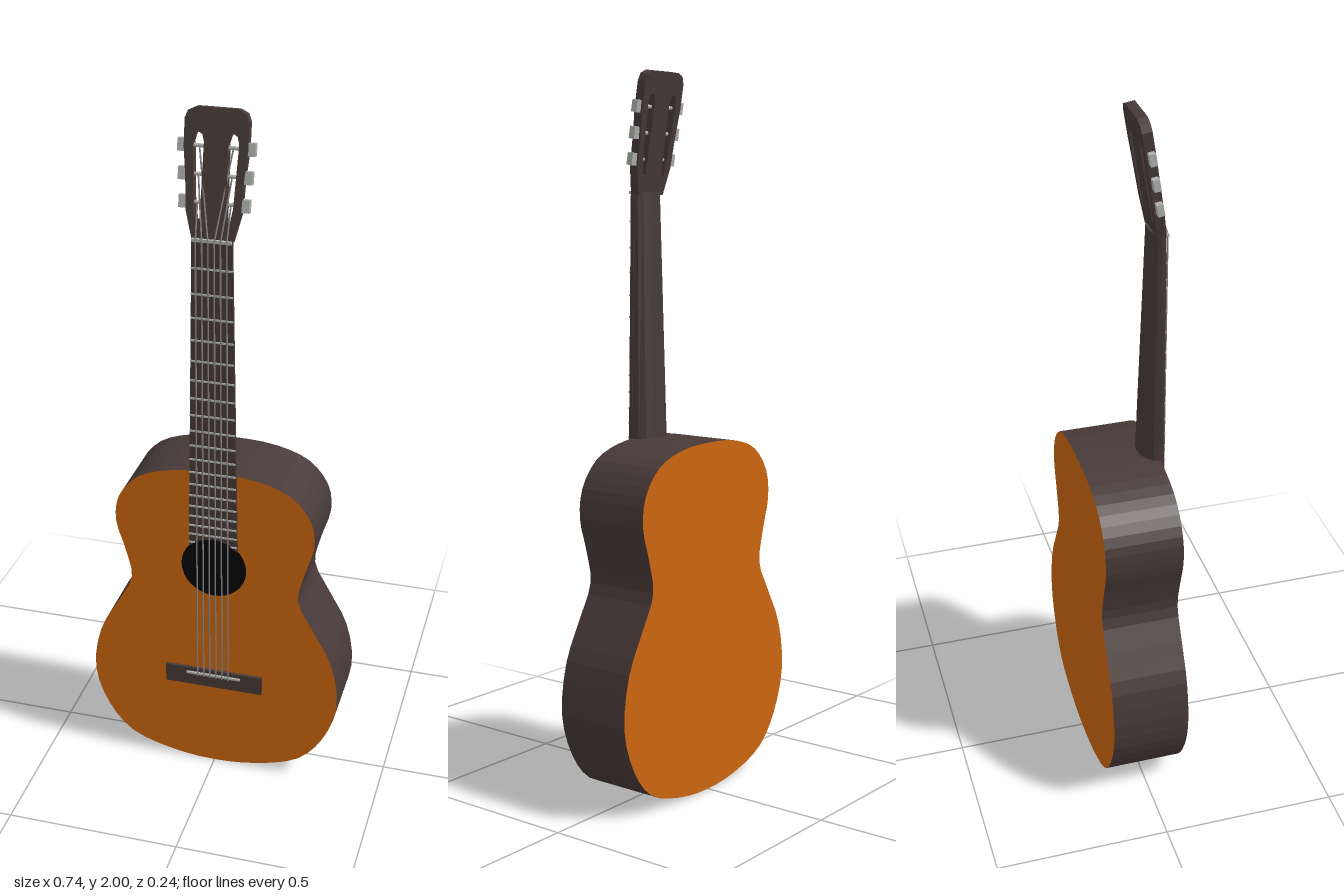
import * as THREE from 'three';

const material = (color, flatShading = false) => new THREE.MeshStandardMaterial({ color, flatShading });
const V = (x, y, z) => new THREE.Vector3(x, y, z);
const lerp = THREE.MathUtils.lerp;

const spruce = material(0xcc6610);
const darkWood = material(0x483a38);
const facetedWood = material(0x483a38, true);
const black = material(0x050505);
const metal = material(0xb0b4b0);
const stringMetal = material(0x85858a);

const NUT_Y = 1.67, SADDLE_Y = 0.32, HOLE_Y = 0.69, HOLE_R = 0.095;
const BOARD_END = 0.754, BOARD_TOP_W = 0.054, BOARD_END_W = 0.07;
const boardHalfWidth = (y) => lerp(BOARD_END_W, BOARD_TOP_W, (y - BOARD_END) / (NUT_Y - BOARD_END));

function add(parent, name, geometry, mat, x = 0, y = 0, z = 0) {
  const mesh = new THREE.Mesh(geometry, mat);
  mesh.name = name;
  mesh.position.set(x, y, z);
  parent.add(mesh);
  return mesh;
}

function box(parent, name, mat, w, h, d, x, y, z) {
  return add(parent, name, new THREE.BoxGeometry(w, h, d), mat, x, y, z);
}

// Thin cylinder between two points
function rod(parent, name, mat, a, b, r, sides = 6) {
  const dir = b.clone().sub(a);
  const mesh = add(parent, name, new THREE.CylinderGeometry(r, r, dir.length(), sides), mat);
  mesh.position.copy(a).add(b).multiplyScalar(0.5);
  mesh.quaternion.setFromUnitVectors(V(0, 1, 0), dir.normalize());
  return mesh;
}

function extrude(shape, depth) {
  return new THREE.ExtrudeGeometry(shape, { depth, bevelEnabled: false, curveSegments: 12 });
}

// Waisted outline, right half mirrored to the left
function bodyShape() {
  const half = [[0.13, 0.015], [0.257, 0.06], [0.328, 0.145], [0.368, 0.27], [0.347, 0.415], [0.29, 0.525],
    [0.246, 0.615], [0.262, 0.706], [0.288, 0.80], [0.277, 0.88], [0.22, 0.95], [0.125, 0.985]];
  const outline = [[0, 0.002], ...half, [0, 0.994], ...half.slice().reverse().map(([x, y]) => [-x, y])];
  const curve = new THREE.CatmullRomCurve3(outline.map(([x, y]) => V(x, y, 0)), true, 'centripetal');
  return new THREE.Shape(curve.getPoints(78).slice(0, -1).map((p) => new THREE.Vector2(p.x, p.y)));
}

// Half-round neck, flat at the front, tapering towards the nut
function neckGeometry() {
  const bottom = 0.96, top = 1.675;
  const geometry = new THREE.CylinderGeometry(1, 1, 1, 16);
  const p = geometry.attributes.position;
  for (let i = 0; i < p.count; i++) {
    const t = p.getY(i) + 0.5;
    const y = lerp(bottom, top, t);
    p.setXYZ(i, p.getX(i) * (boardHalfWidth(y) - 0.001), y, 0.1 + Math.min(0, p.getZ(i)) * lerp(0.052, 0.027, t));
  }
  geometry.computeVertexNormals();
  return geometry;
}

// Fingerboard with its lower end cut around the sound hole
function fingerboardShape() {
  const a = Math.acos(BOARD_END_W / HOLE_R);
  const shape = new THREE.Shape();
  shape.moveTo(BOARD_TOP_W, NUT_Y);
  shape.lineTo(-BOARD_TOP_W, NUT_Y);
  shape.absarc(0, HOLE_Y, HOLE_R, Math.PI - a, a, true);
  shape.closePath();
  return shape;
}

// Slotted head, local y running up from the nut
function headShape() {
  const half = [[0.053, 0], [0.072, 0.075], [0.076, 0.16], [0.083, 0.235], [0.083, 0.305], [0.075, 0.325], [0.055, 0.3345]];
  const points = [...half, ...half.slice().reverse().map(([x, y]) => [-x, y])];
  const shape = new THREE.Shape(points.map(([x, y]) => new THREE.Vector2(x, y)));
  const slot = [[0.034, 0.055], [0.045, 0.05], [0.052, 0.09], [0.06, 0.25], [0.055, 0.268], [0.046, 0.274], [0.036, 0.268], [0.031, 0.25]];
  for (const s of [-1, 1]) {
    shape.holes.push(new THREE.Path(slot.map(([x, y]) => new THREE.Vector2(s * x, y))));
  }
  return shape;
}

export function createModel() {
  const model = new THREE.Group();
  model.name = 'guitar';

  // Body and sound hole
  add(model, 'body', extrude(bodyShape(), 0.22), [spruce, darkWood], 0, 0, -0.12);
  add(model, 'soundHole', new THREE.CircleGeometry(HOLE_R, 32), black, 0, HOLE_Y, 0.1015);

  // Neck and fingerboard
  add(model, 'neck', neckGeometry(), facetedWood);
  add(model, 'fingerboard', extrude(fingerboardShape(), 0.01), darkWood, 0, 0, 0.1);

  // Frets in equal temperament; the last is split by the sound hole
  const frets = new THREE.Group();
  frets.name = 'frets';
  model.add(frets);
  for (let n = 1; n <= 19; n++) {
    const y = SADDLE_Y + (NUT_Y - SADDLE_Y) * Math.pow(2, -n / 12);
    const w = boardHalfWidth(y);
    if (n < 19) box(frets, 'fret', metal, 2 * w, 0.005, 0.004, 0, y, 0.111);
    else for (const s of [-1, 1]) box(frets, 'fret', metal, w - 0.052, 0.005, 0.004, s * (w + 0.052) / 2, y, 0.111);
  }
  box(model, 'nut', metal, 0.106, 0.008, 0.016, 0, NUT_Y + 0.002, 0.109);

  // Bridge and saddle
  box(model, 'bridge', darkWood, 0.29, 0.058, 0.009, 0, 0.306, 0.1045);
  box(model, 'saddle', metal, 0.162, 0.006, 0.008, 0, SADDLE_Y, 0.111);

  // Tilted head with slots
  const head = new THREE.Group();
  head.name = 'headstock';
  head.position.set(0, NUT_Y, 0.11);
  head.rotation.x = -0.165;
  model.add(head);
  add(head, 'head', extrude(headShape(), 0.027), darkWood, 0, 0, -0.027);

  // Tuners: button, shaft and roller across each slot
  const tuners = [[0.096, 0.093], [0.167, 0.097], [0.238, 0.101]];
  for (const s of [-1, 1]) {
    for (const [y, outer] of tuners) {
      box(head, 'tunerButton', metal, 0.022, 0.033, 0.018, s * (outer - 0.011), y, -0.013);
      rod(head, 'tunerShaft', metal, V(s * 0.028, y, -0.013), V(s * (outer - 0.01), y, -0.013), 0.005, 8);
    }
  }

  // Six strings: saddle to nut, then on to the rollers
  for (const s of [-1, 1]) {
    for (let i = 0; i < 3; i++) {
      const k = 2.5 - i; // outermost string first, to the lowest roller
      const r = 0.0022;
      const nutX = s * k * 0.0165;
      rod(model, 'string', stringMetal, V(s * k * 0.0185, SADDLE_Y - 0.005, 0.116), V(nutX, NUT_Y, 0.117), r);
      rod(head, 'stringEnd', stringMetal, V(nutX, 0, 0.007), V(s * 0.044, tuners[i][0], -0.008), r);
    }
  }
  return model;
}
